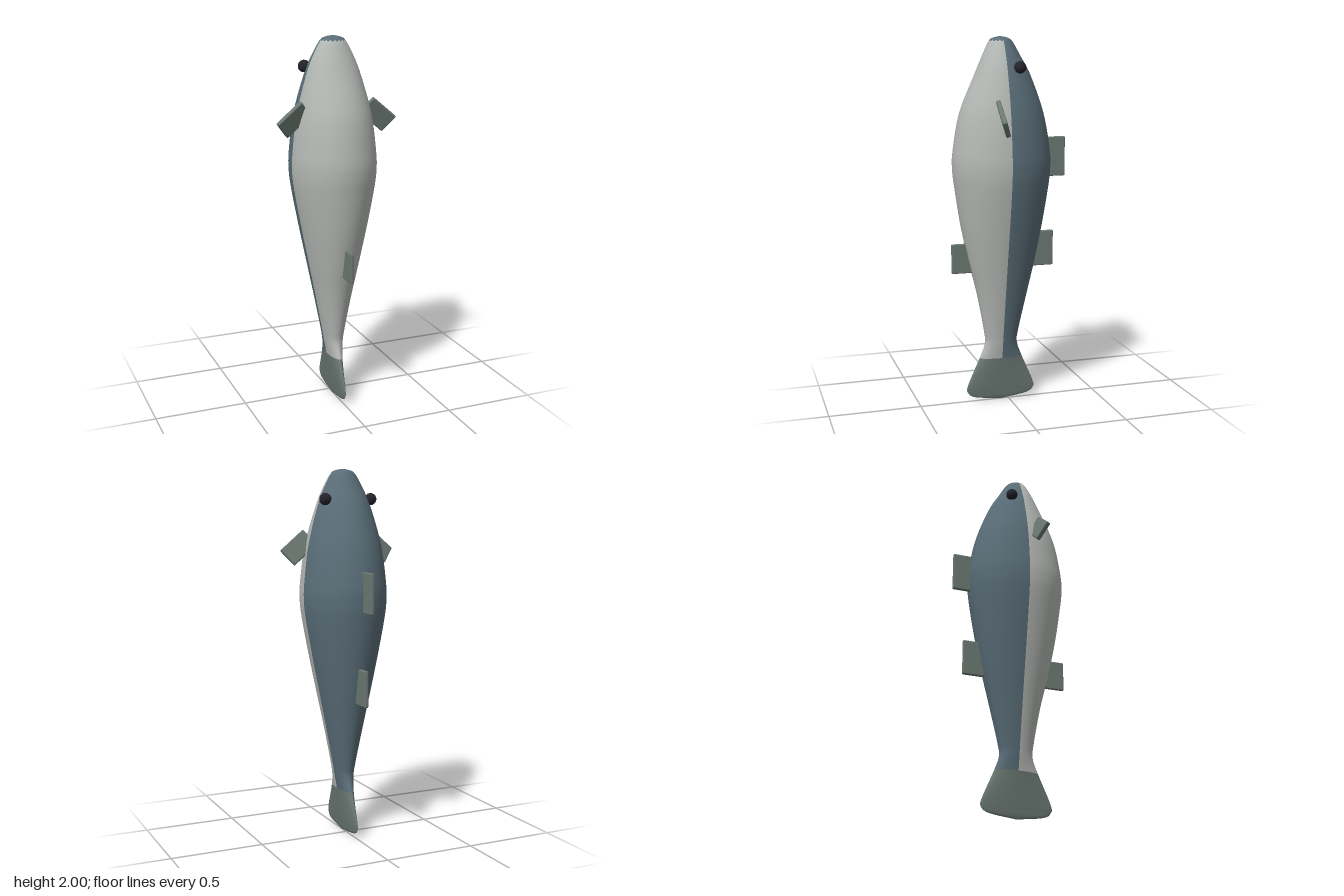
import * as THREE from 'three';
import { RoundedBoxGeometry } from 'three/addons/geometries/RoundedBoxGeometry.js';

const COLORS = { back: 0x5a6e78, belly: 0xb4b8b4, fin: 0x6b7872, eye: 0x24242c };
const Z0 = 0.045; // body axis

// Cross-sections from nose to tail: height, half width, belly depth, back depth
const SECTIONS = [
  [2.0, 0, 0, 0], [1.993, 0.036, 0.034, 0.034], [1.975, 0.066, 0.06, 0.062],
  [1.9, 0.108, 0.095, 0.105], [1.8, 0.147, 0.137, 0.16], [1.6, 0.2, 0.22, 0.232],
  [1.4, 0.225, 0.257, 0.269], [1.3, 0.228, 0.261, 0.272], [1.2, 0.217, 0.25, 0.262],
  [1.0, 0.18, 0.22, 0.23], [0.8, 0.14, 0.178, 0.191], [0.6, 0.1, 0.13, 0.145],
  [0.4, 0.062, 0.094, 0.1], [0.33, 0.05, 0.09, 0.093], [0.25, 0.036, 0.12, 0.12],
  [0.1, 0.018, 0.187, 0.184], [0.055, 0.012, 0.188, 0.189], [0.025, 0.008, 0.145, 0.145],
  [0.005, 0.002, 0, 0],
];
const LAST = SECTIONS.length - 1;
const NOSE = 2, TAIL = 14; // section numbers where the colour changes
const curve = (k) => new THREE.CatmullRomCurve3(
  SECTIONS.map((s) => new THREE.Vector3(s[1], s[0], s[k])), false, 'catmullrom', 0.5);
const bellyCurve = curve(2), backCurve = curve(3);

// Point on the skin: a = 0 at +x, PI/2 at the belly; s = section number
function skin(a, s) {
  const p = (Math.sin(a) >= 0 ? bellyCurve : backCurve).getPoint(THREE.MathUtils.clamp(s / LAST, 0, 1));
  return new THREE.Vector3(p.x * Math.cos(a), p.y, Z0 + p.z * Math.sin(a));
}

function skinNormal(a, s) {
  const sc = THREE.MathUtils.clamp(s, 0.02, LAST - 0.02);
  const da = skin(a + 0.01, sc).sub(skin(a - 0.01, sc));
  const ds = skin(a, sc + 0.01).sub(skin(a, sc - 0.01));
  return ds.cross(da).negate().normalize();
}

// Patch of skin between two angles and two section limits
function patch(a0, a1, from, to, cols, rows) {
  const pos = [], nor = [], idx = [];
  for (let j = 0; j <= rows; j++) {
    for (let i = 0; i <= cols; i++) {
      const a = a0 + (a1 - a0) * i / cols;
      const s = THREE.MathUtils.lerp(from(a), to(a), j / rows);
      pos.push(...skin(a, s).toArray());
      nor.push(...skinNormal(a, s).toArray());
      if (i < cols && j < rows) {
        const k = j * (cols + 1) + i, n = k + cols + 1;
        idx.push(k, k + 1, n, k + 1, n + 1, n);
      }
    }
  }
  const g = new THREE.BufferGeometry();
  g.setAttribute('position', new THREE.Float32BufferAttribute(pos, 3));
  g.setAttribute('normal', new THREE.Float32BufferAttribute(nor, 3));
  g.setIndex(idx);
  return g;
}

export function createModel() {
  const group = new THREE.Group();
  const materials = {};
  for (const key in COLORS) materials[key] = new THREE.MeshStandardMaterial({ color: COLORS[key] });
  const add = (name, geometry, color) => {
    const mesh = new THREE.Mesh(geometry, materials[color]);
    mesh.name = name;
    group.add(mesh);
    return mesh;
  };

  // Body skin, with a scalloped edge where the dark snout meets the belly
  const at = (s) => () => s;
  const scallop = (a) => NOSE - 0.15 + 0.2 * Math.abs(Math.sin(9 * a));
  add('snout', patch(0, Math.PI, at(0), scallop, 72, 8), 'back');
  add('belly', patch(0, Math.PI, scallop, at(TAIL), 72, 60), 'belly');
  add('back', patch(Math.PI, 2 * Math.PI, at(0), at(TAIL), 36, 70), 'back');
  add('tailFin', patch(0, 2 * Math.PI, at(TAIL), at(LAST), 64, 24), 'fin');

  // Fins along the midline: name, bottom, top, z from, z to, thickness
  for (const [name, y0, y1, z0, z1, t] of [
    ['frontDorsalFin', 1.25, 1.465, -0.32, -0.17, 0.02],
    ['rearDorsalFin', 0.755, 0.95, -0.255, -0.1, 0.02],
    ['analFin', 0.737, 0.9, 0.17, 0.32, 0.016],
  ]) {
    add(name, new RoundedBoxGeometry(t, y1 - y0, z1 - z0, 2, 0.006), 'fin')
      .position.set(0, (y0 + y1) / 2, (z0 + z1) / 2);
  }

  for (const [label, side] of [['left', 1], ['right', -1]]) {
    // Pectoral fin: slopes outward and down, twisted towards the belly
    const out = new THREE.Vector3(0.77 * side, -0.64, 0).normalize();
    const face = out.clone().cross(new THREE.Vector3(0.065 * side, 0.08, 0.04)).normalize();
    const chord = face.clone().cross(out);
    const fin = add(label + 'PectoralFin', new RoundedBoxGeometry(0.17, 0.11, 0.025, 2, 0.006), 'fin');
    fin.quaternion.setFromRotationMatrix(new THREE.Matrix4().makeBasis(out, chord, face));
    fin.position.set(0.3 * side, 1.53, 0.097).addScaledVector(out, -0.085);

    // Eye
    add(label + 'Eye', new THREE.SphereGeometry(0.032, 24, 16), 'eye')
      .position.set(0.132 * side, 1.84, -0.024);
  }
  return group;
}
